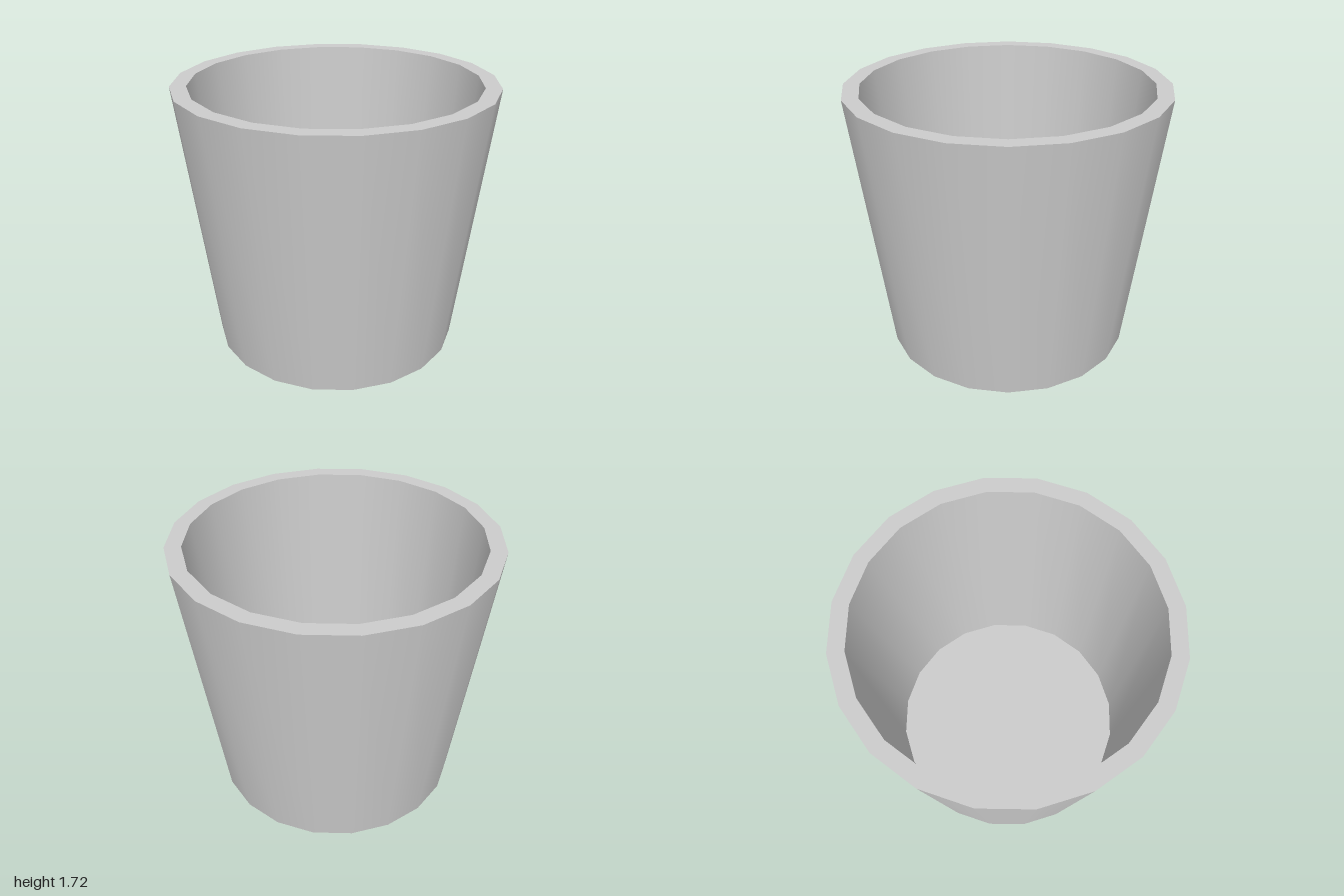
import * as THREE from 'three';

const SIDES = 20;
const HEIGHT = 1.72;
const FLOOR = 0.1;
const OUTER_TOP = 1, OUTER_BOTTOM = 0.795;
const INNER_TOP = 0.9, INNER_BOTTOM = 0.775;

export function createModel() {
  const group = new THREE.Group();
  group.name = 'bucket';
  const material = new THREE.MeshStandardMaterial({ color: 0xcccccc });

  const add = (name, geometry) => {
    const mesh = new THREE.Mesh(geometry, material);
    mesh.name = name;
    group.add(mesh);
    return mesh;
  };

  // One smooth ring between two profile points; separate rings keep the rims sharp
  const ring = (name, r0, y0, r1, y1) => add(name, new THREE.LatheGeometry(
    [new THREE.Vector2(r0, y0), new THREE.Vector2(r1, y1)], SIDES));

  // Flat disc facing up (+1) or down (-1)
  const disc = (name, radius, y, facing) => add(name,
    new THREE.CircleGeometry(radius, SIDES).rotateX(-facing * Math.PI / 2).translate(0, y, 0));

  disc('base', OUTER_BOTTOM, 0, -1);
  ring('outerWall', OUTER_BOTTOM, 0, OUTER_TOP, HEIGHT);
  ring('rim', OUTER_TOP, HEIGHT, INNER_TOP, HEIGHT);
  ring('innerWall', INNER_TOP, HEIGHT, INNER_BOTTOM, FLOOR);
  disc('innerFloor', INNER_BOTTOM, FLOOR, 1);

  return group;
}
